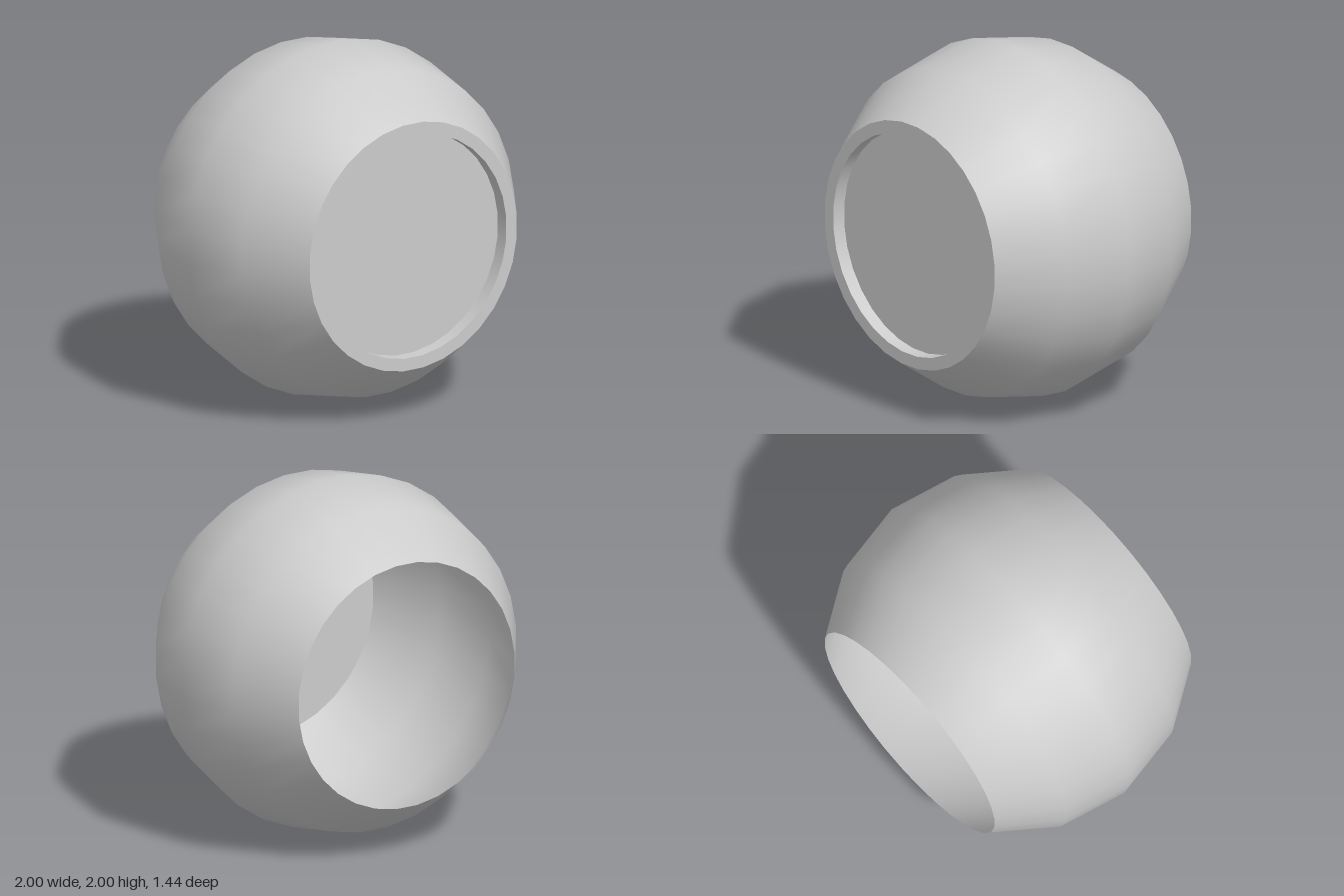
import * as THREE from 'three';

const SIDES = 32;
const HALF_STEP = Math.PI / SIDES; // puts a flat side at the top, bottom, left and right
const FRONT = 0.72, RECESS = 0.08, RIM = 0.704, INNER = 0.633;

const material = new THREE.MeshStandardMaterial({ color: 0xcccccc, side: THREE.DoubleSide });

// Surface of revolution about z, from [radius, z] pairs running back to front
function revolve(profile) {
  const points = profile.map(([r, z]) => new THREE.Vector2(r, z));
  return new THREE.LatheGeometry(points, SIDES, HALF_STEP).rotateX(Math.PI / 2);
}

export function createModel() {
  const model = new THREE.Group();
  model.name = 'openBarrelShell';

  function add(name, geometry, z = 0) {
    const mesh = new THREE.Mesh(geometry, material);
    mesh.name = name;
    mesh.position.set(0, 1, z);
    model.add(mesh);
  }

  // Thin round body, left open at the back
  add('shell', revolve([[RIM, -FRONT], [0.926, -0.39], [1.005, 0], [0.926, 0.39], [RIM, FRONT]]));

  // Flat front rim around a shallow recessed panel
  add('frontRim', new THREE.RingGeometry(INNER, RIM, SIDES, 1, HALF_STEP), FRONT);
  add('recessWall', revolve([[INNER, FRONT - RECESS], [INNER, FRONT]]));
  add('frontPanel', new THREE.CircleGeometry(INNER, SIDES, HALF_STEP), FRONT - RECESS);

  return model;
}
